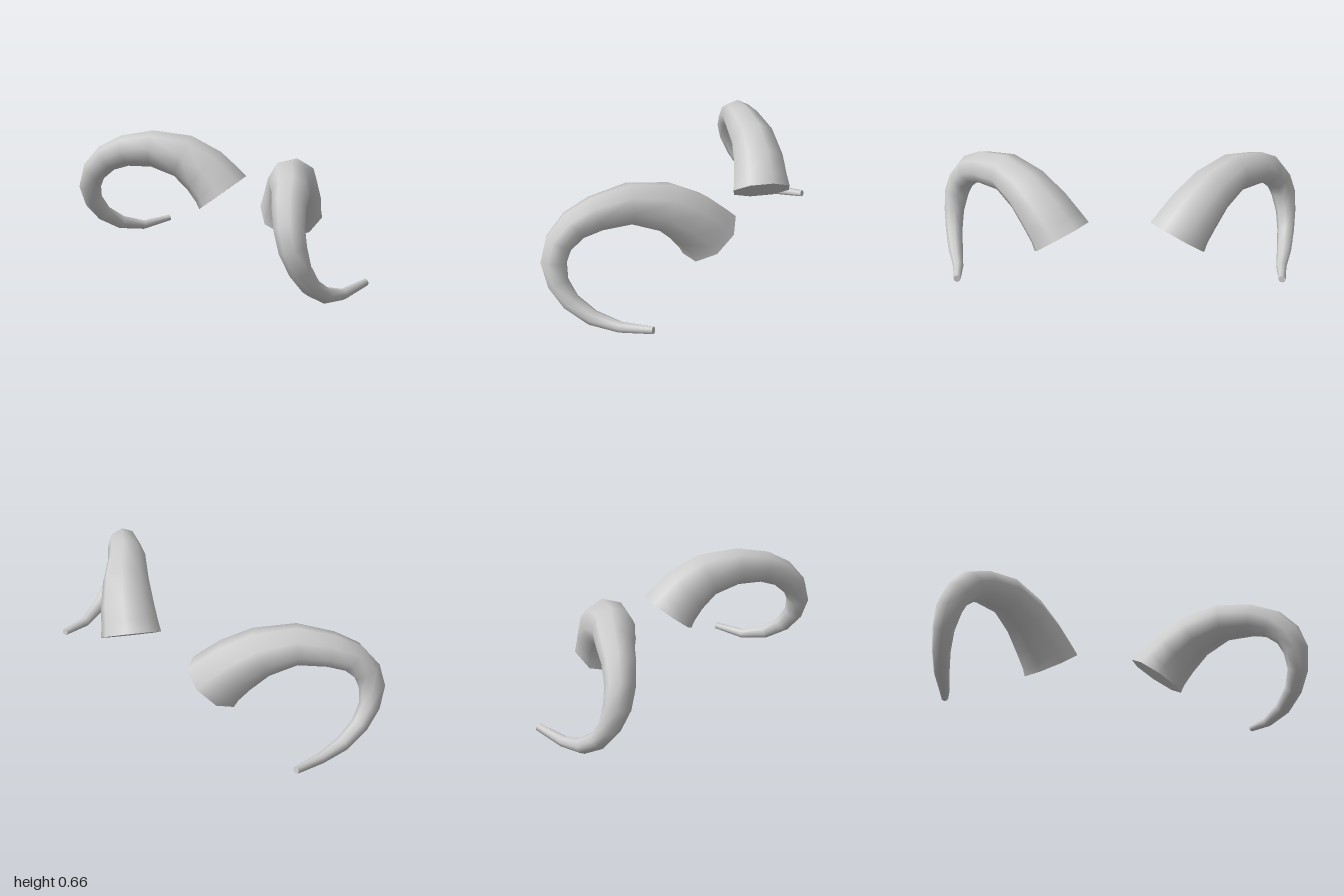
import * as THREE from 'three';

const SIDES = 8;

// Cross-sections from the skull end to the tip: x, y, z, radius
const SECTIONS = [
  [0.305, 0.31, -0.21, 0.168],
  [0.335, 0.355, -0.188, 0.158],
  [0.395, 0.43, -0.145, 0.148],
  [0.49, 0.515, -0.06, 0.128],
  [0.615, 0.555, 0.07, 0.106],
  [0.75, 0.535, 0.175, 0.091],
  [0.83, 0.487, 0.252, 0.081],
  [0.893, 0.405, 0.302, 0.073],
  [0.93, 0.315, 0.31, 0.067],
  [0.947, 0.215, 0.278, 0.055],
  [0.944, 0.128, 0.21, 0.047],
  [0.925, 0.06, 0.1, 0.04],
  [0.893, 0.03, -0.04, 0.028],
  [0.872, 0.055, -0.216, 0.019],
];

// Rings of points swept along the curl without twisting
function hornRings() {
  const centres = SECTIONS.map(([x, y, z]) => new THREE.Vector3(x, y, z));
  const u = new THREE.Vector3(0.87, -0.49, 0);
  return centres.map((c, i) => {
    const before = centres[Math.max(i - 1, 0)];
    const after = centres[Math.min(i + 1, centres.length - 1)];
    const t = i === 0
      ? new THREE.Vector3(0.48, 0.8, 0.36).normalize()
      : after.clone().sub(c).normalize().add(c.clone().sub(before).normalize()).normalize();
    u.addScaledVector(t, -u.dot(t)).normalize();
    const v = t.clone().cross(u);
    return Array.from({ length: SIDES }, (_, j) => {
      const a = (j / SIDES) * Math.PI * 2;
      return c.clone()
        .addScaledVector(u, SECTIONS[i][3] * Math.cos(a))
        .addScaledVector(v, SECTIONS[i][3] * Math.sin(a));
    });
  });
}

// Geometry from points and triangles, mirrored in x when side is -1
function makeGeometry(points, faces, side) {
  const g = new THREE.BufferGeometry();
  const pos = points.flatMap((p) => [p.x * side, p.y, p.z]);
  g.setAttribute('position', new THREE.Float32BufferAttribute(pos, 3));
  g.setIndex(faces.flatMap(([a, b, c]) => (side > 0 ? [a, b, c] : [a, c, b])));
  g.computeVertexNormals();
  return g;
}

function shellGeometry(rings, side) {
  const faces = [];
  for (let i = 0; i < rings.length - 1; i++) {
    for (let j = 0; j < SIDES; j++) {
      const k = (j + 1) % SIDES;
      const a = i * SIDES + j, b = i * SIDES + k;
      faces.push([a, b, a + SIDES], [b, b + SIDES, a + SIDES]);
    }
  }
  return makeGeometry(rings.flat(), faces, side);
}

function capGeometry(ring, side, facesTip) {
  const faces = [];
  for (let j = 1; j < SIDES - 1; j++) faces.push(facesTip ? [0, j, j + 1] : [0, j + 1, j]);
  return makeGeometry(ring, faces, side);
}

export function createModel() {
  const model = new THREE.Group();
  model.name = 'curledHorns';
  const horn = new THREE.MeshStandardMaterial({ color: 0xcccccc });
  horn.name = 'hornGrey';
  const rings = hornRings();

  for (const side of [1, -1]) {
    const group = new THREE.Group();
    group.name = side > 0 ? 'leftHorn' : 'rightHorn';
    const add = (name, geometry) => {
      const mesh = new THREE.Mesh(geometry, horn);
      mesh.name = name;
      group.add(mesh);
    };
    add('hornShell', shellGeometry(rings, side));
    add('hornBase', capGeometry(rings[0], side, false));
    add('hornTip', capGeometry(rings[rings.length - 1], side, true));
    model.add(group);
  }
  return model;
}
